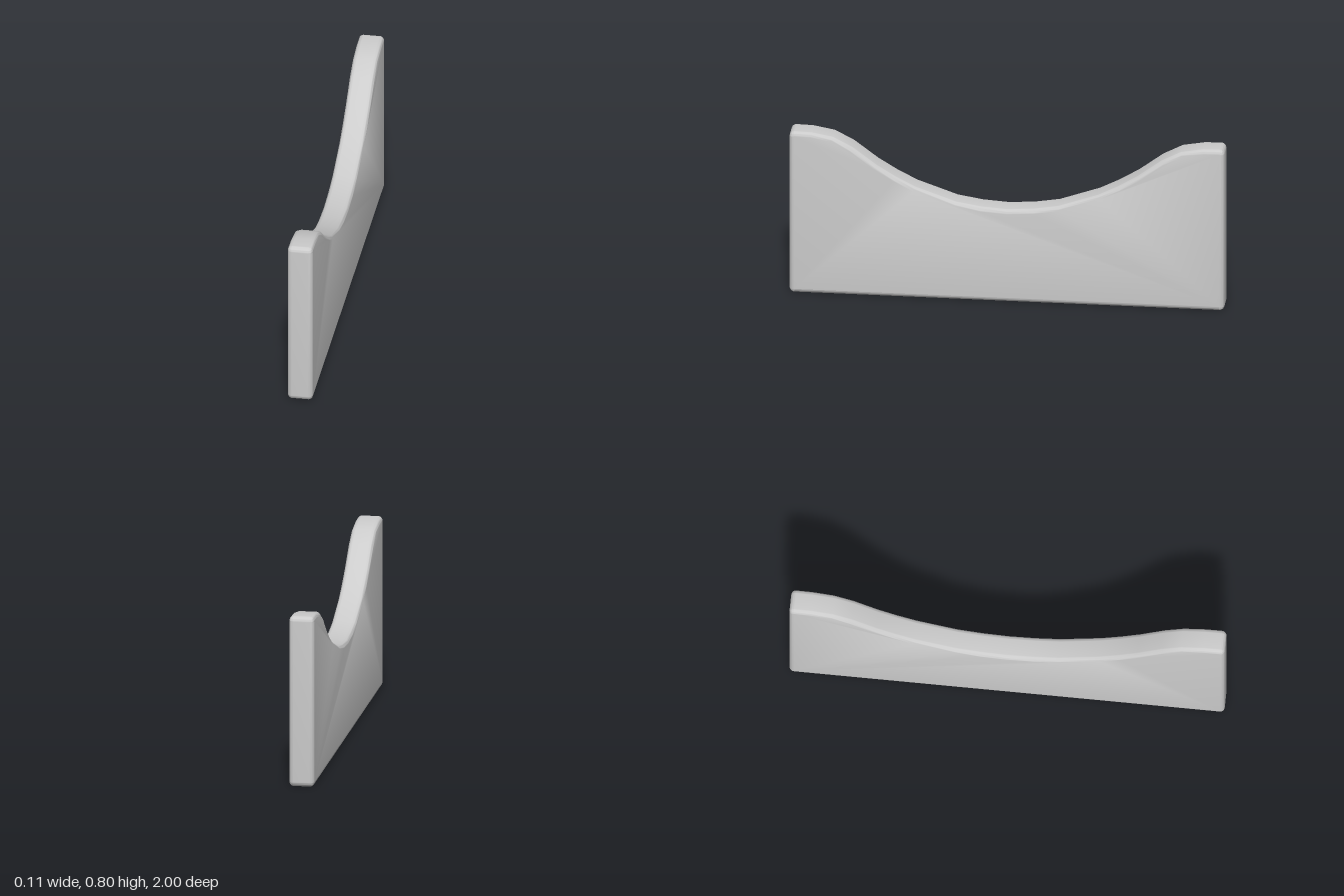
import * as THREE from 'three';
import { toCreasedNormals } from 'three/addons/utils/BufferGeometryUtils.js';

const WIDTH = 0.115;
const HEIGHT = 0.8;
const BEVEL = 0.02;
const CORNER = 0.024;

// Half of the dipped top edge, from the centre outwards: [distance, height]
const DIP = [
  [0, 0.457], [0.12, 0.465], [0.235, 0.484], [0.42, 0.549], [0.51, 0.595],
  [0.6, 0.65], [0.71, 0.733], [0.8, 0.78], [0.9, 0.798],
];

export function createModel() {
  const group = new THREE.Group();
  group.name = 'dippedPanel';

  // Side outline with small rounded corners
  const s = new THREE.Shape();
  s.moveTo(-1 + CORNER, 0);
  s.lineTo(1 - CORNER, 0);
  s.absarc(1 - CORNER, CORNER, CORNER, -Math.PI / 2, 0);
  s.absarc(1 - CORNER, HEIGHT - CORNER, CORNER, 0, Math.PI / 2);
  for (const [d, y] of [...DIP].reverse()) s.lineTo(d, y);
  for (const [d, y] of DIP.slice(1)) s.lineTo(-d, y);
  s.absarc(-1 + CORNER, HEIGHT - CORNER, CORNER, Math.PI / 2, Math.PI);
  s.absarc(-1 + CORNER, CORNER, CORNER, Math.PI, Math.PI * 1.5);

  // Rounded rim inset from the outline, so the outline keeps its size
  const depth = WIDTH - 2 * BEVEL;
  const geometry = new THREE.ExtrudeGeometry(s, {
    depth,
    curveSegments: 6,
    bevelEnabled: true,
    bevelThickness: BEVEL,
    bevelSize: BEVEL,
    bevelOffset: -BEVEL,
    bevelSegments: 6,
  });
  geometry.translate(0, 0, -depth / 2);
  geometry.rotateY(-Math.PI / 2);

  const panel = new THREE.Mesh(
    toCreasedNormals(geometry, 0.7),
    new THREE.MeshStandardMaterial({ color: 0xcccccc }),
  );
  panel.name = 'panel';
  group.add(panel);
  return group;
}
